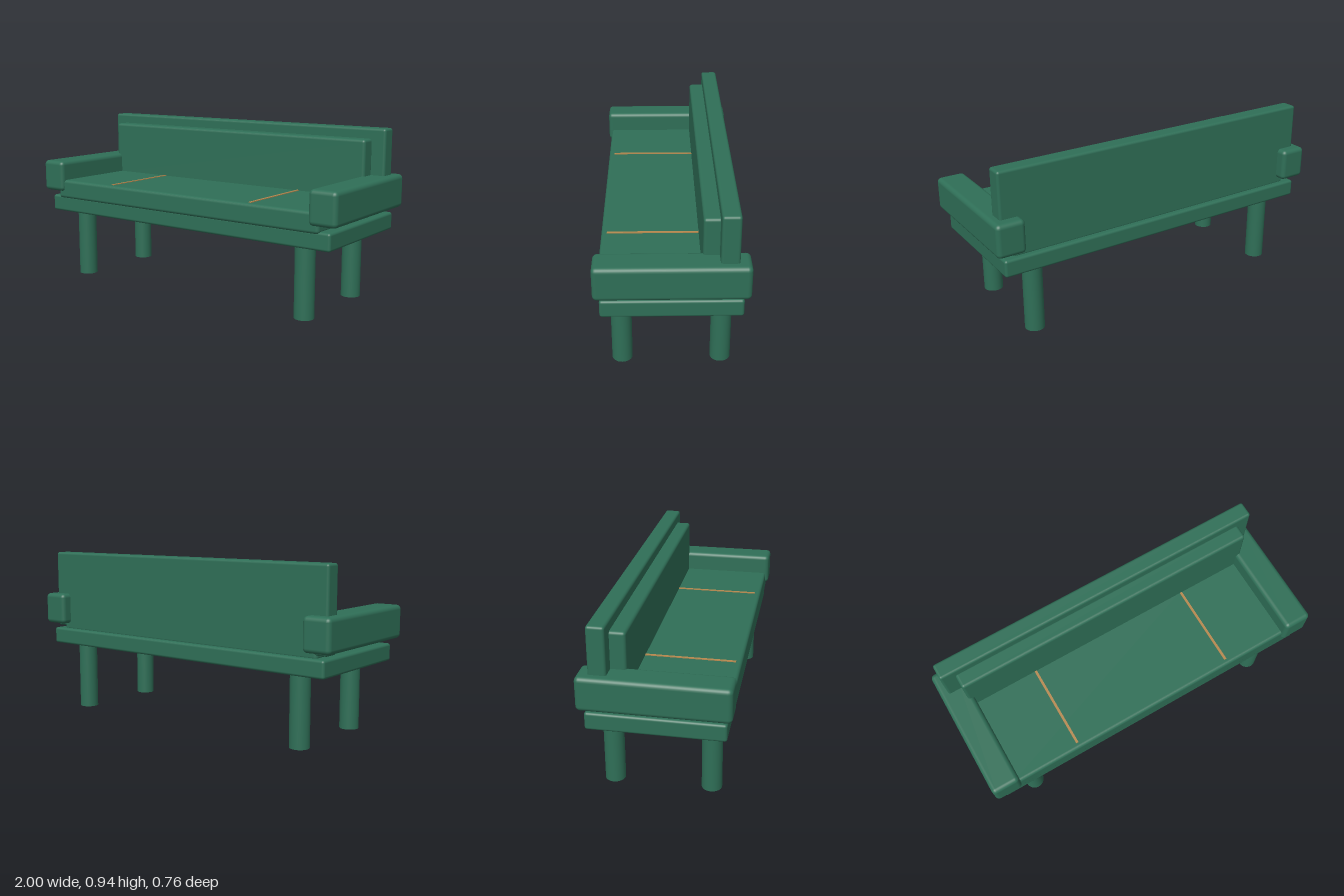
import * as THREE from 'three';
import { RoundedBoxGeometry } from 'three/addons/geometries/RoundedBoxGeometry.js';

const green = new THREE.MeshStandardMaterial({ color: 0x2f6f57 });
green.name = 'green fabric';
const tan = new THREE.MeshStandardMaterial({ color: 0xb5894f });
tan.name = 'tan piping';

export function createModel() {
  const sofa = new THREE.Group();
  sofa.name = 'sofa';

  const add = (name, geometry, material, x, y, z) => {
    const mesh = new THREE.Mesh(geometry, material);
    mesh.name = name;
    mesh.position.set(x, y, z);
    sofa.add(mesh);
  };

  // Softened block given by its extents on each axis
  const block = (name, [x0, x1], [y0, y1], [z0, z1], radius) => add(name,
    new RoundedBoxGeometry(x1 - x0, y1 - y0, z1 - z0, 3, radius), green,
    (x0 + x1) / 2, (y0 + y1) / 2, (z0 + z1) / 2);

  // Frame and cushions
  block('base', [-0.955, 0.955], [0.384, 0.478], [-0.35, 0.35], 0.014);
  block('seatCushion', [-0.895, 0.895], [0.466, 0.576], [-0.32, 0.36], 0.018);
  block('backrest', [-0.955, 0.955], [0.491, 0.937], [-0.32, -0.228], 0.014);
  block('backCushion', [-0.877, 0.877], [0.55, 0.882], [-0.24, -0.148], 0.016);

  for (const side of [-1, 1]) {
    const name = side > 0 ? 'left' : 'right';

    // Armrest
    const xs = [side * 0.843, side].sort((a, b) => a - b);
    block(name + 'Armrest', xs, [0.508, 0.688], [-0.378, 0.378], 0.024);

    // Seat seam
    add(name + 'SeatSeam', new THREE.BoxGeometry(0.014, 0.008, 0.48), tan,
      side * 0.478, 0.576, 0.09);

    // Front and back legs
    for (const end of [-1, 1]) {
      add(name + (end > 0 ? 'FrontLeg' : 'BackLeg'),
        new THREE.CylinderGeometry(0.053, 0.053, 0.39, 32), green,
        side * 0.765, 0.195, end * 0.254);
    }
  }
  return sofa;
}
